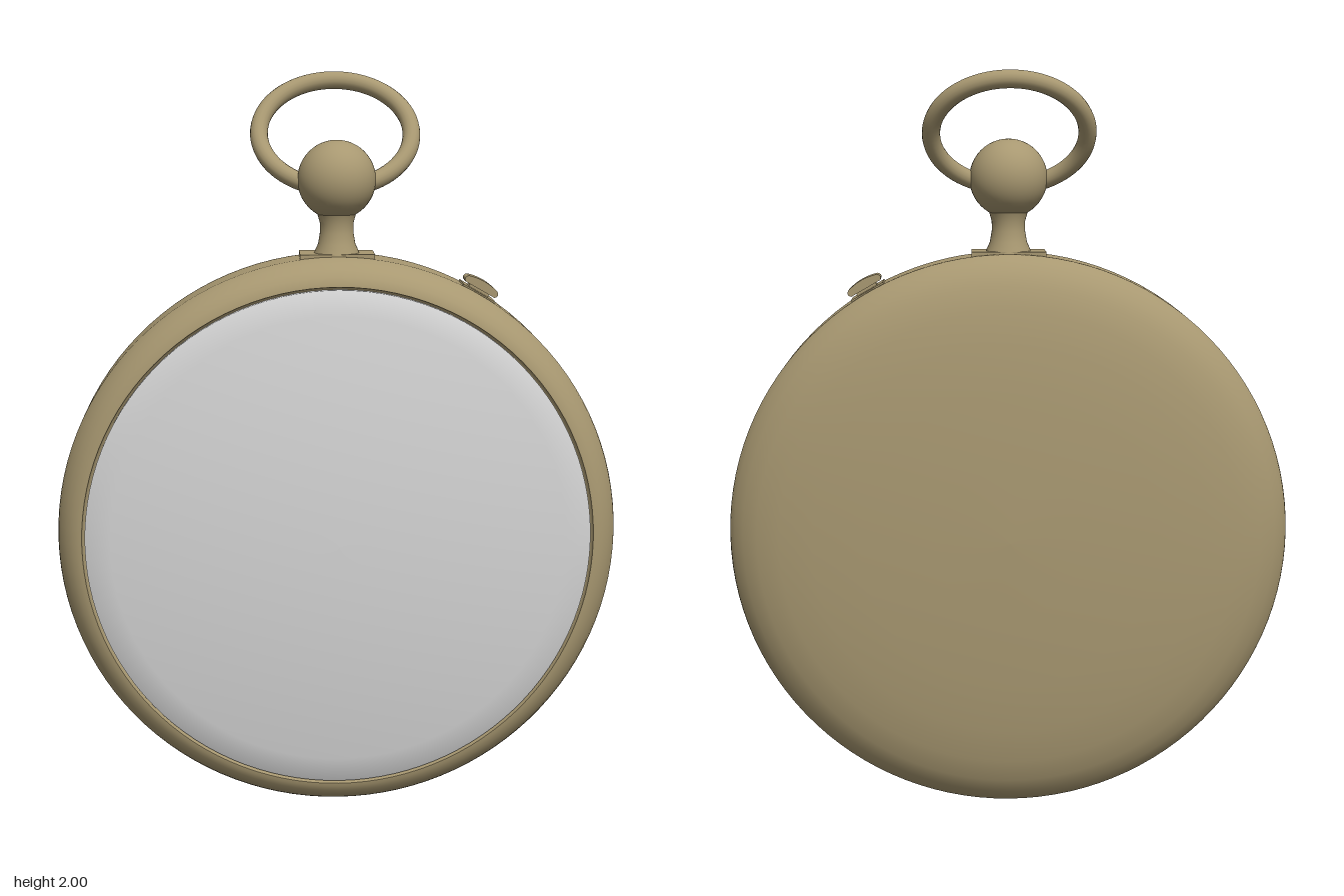
import * as THREE from 'three';

const CENTER_Y = 0.765;

export function createModel() {
  const brass = new THREE.MeshStandardMaterial({ color: 0xa89871 });
  brass.name = 'brass';
  const crystal = new THREE.MeshStandardMaterial({ color: 0xd4d4d4 });
  crystal.name = 'crystal';

  const model = new THREE.Group();
  model.name = 'pocketWatch';
  const add = (name, geometry, material, parent = model) => {
    const mesh = new THREE.Mesh(geometry, material);
    mesh.name = name;
    parent.add(mesh);
    return mesh;
  };
  const lathe = (pts, segments) =>
    new THREE.LatheGeometry(pts.map(([r, h]) => new THREE.Vector2(r, h)), segments);

  // Case parts: profiles of (radius, depth) turned about the z axis
  const watchCase = new THREE.Group();
  watchCase.name = 'case';
  watchCase.position.y = CENTER_Y;
  model.add(watchCase);
  const turned = (name, pts, material) =>
    add(name, lathe(pts, 112).rotateX(Math.PI / 2), material, watchCase);

  turned('backCover', [
    [0, -0.205], [0.2, -0.202], [0.4, -0.191], [0.53, -0.178], [0.62, -0.163],
    [0.68, -0.145], [0.72, -0.122], [0.745, -0.097], [0.757, -0.078], [0.76, -0.067],
  ], brass);
  turned('backSeam', [[0.76, -0.067], [0.753, -0.065], [0.76, -0.063]], brass);
  turned('band', [[0.76, -0.063], [0.76, 0.066]], brass);
  turned('bezel', [
    [0.76, 0.066], [0.757, 0.08], [0.748, 0.1], [0.733, 0.122], [0.715, 0.137],
    [0.7, 0.144], [0.69, 0.146],
  ], brass);
  turned('bezelLip', [[0.69, 0.146], [0.687, 0.13], [0.675, 0.128]], brass);
  const dome = [[0.682, 0.126]];
  for (let i = 0; i <= 10; i++) {
    const r = 0.682 * (1 - i / 10);
    dome.push([r, 0.146 + 0.056 * (1 - (r / 0.682) ** 2)]);
  }
  turned('crystal', dome, crystal);

  // Neck with flared foot, and the round crown
  add('neckFoot', new THREE.BoxGeometry(0.2, 0.02, 0.12), brass).position.y = 1.521;
  add('neck', lathe([
    [0.066, 1.51], [0.06, 1.533], [0.05, 1.555], [0.045, 1.585], [0.045, 1.61],
    [0.052, 1.635], [0.06, 1.65],
  ], 32), brass);
  add('crown', new THREE.SphereGeometry(0.105, 40, 24), brass).position.y = 1.725;

  // Oval bow leaning back from the crown
  const loop = [];
  for (let i = 0; i < 24; i++) {
    const a = (i / 24) * Math.PI * 2;
    loop.push(new THREE.Vector3(0.206 * Math.cos(a), 0.155 + 0.171 * Math.sin(a), 0));
  }
  const bowCurve = new THREE.CatmullRomCurve3(loop, true);
  const bow = add('bow', new THREE.TubeGeometry(bowCurve, 80, 0.024, 16, true), brass);
  bow.position.y = 1.717;
  bow.rotation.x = -0.62;

  // Setting button on the upper left of the band
  const button = new THREE.Group();
  button.name = 'settingButton';
  button.position.y = CENTER_Y;
  button.rotation.z = -Math.PI / 6;
  model.add(button);
  add('buttonPlate', new THREE.BoxGeometry(0.1, 0.012, 0.11), brass, button).position.y = 0.757;
  add('buttonStem', new THREE.BoxGeometry(0.06, 0.04, 0.04), brass, button).position.y = 0.77;
  const cap = new THREE.Shape();
  cap.moveTo(-0.045, 0.77);
  cap.lineTo(0.045, 0.77);
  cap.quadraticCurveTo(0.056, 0.778, 0.045, 0.788);
  cap.quadraticCurveTo(0, 0.802, -0.045, 0.788);
  cap.quadraticCurveTo(-0.056, 0.778, -0.045, 0.77);
  const capGeometry = new THREE.ExtrudeGeometry(cap, { depth: 0.054, bevelEnabled: false });
  add('buttonCap', capGeometry.translate(0, 0, -0.027), brass, button);

  return model;
}
